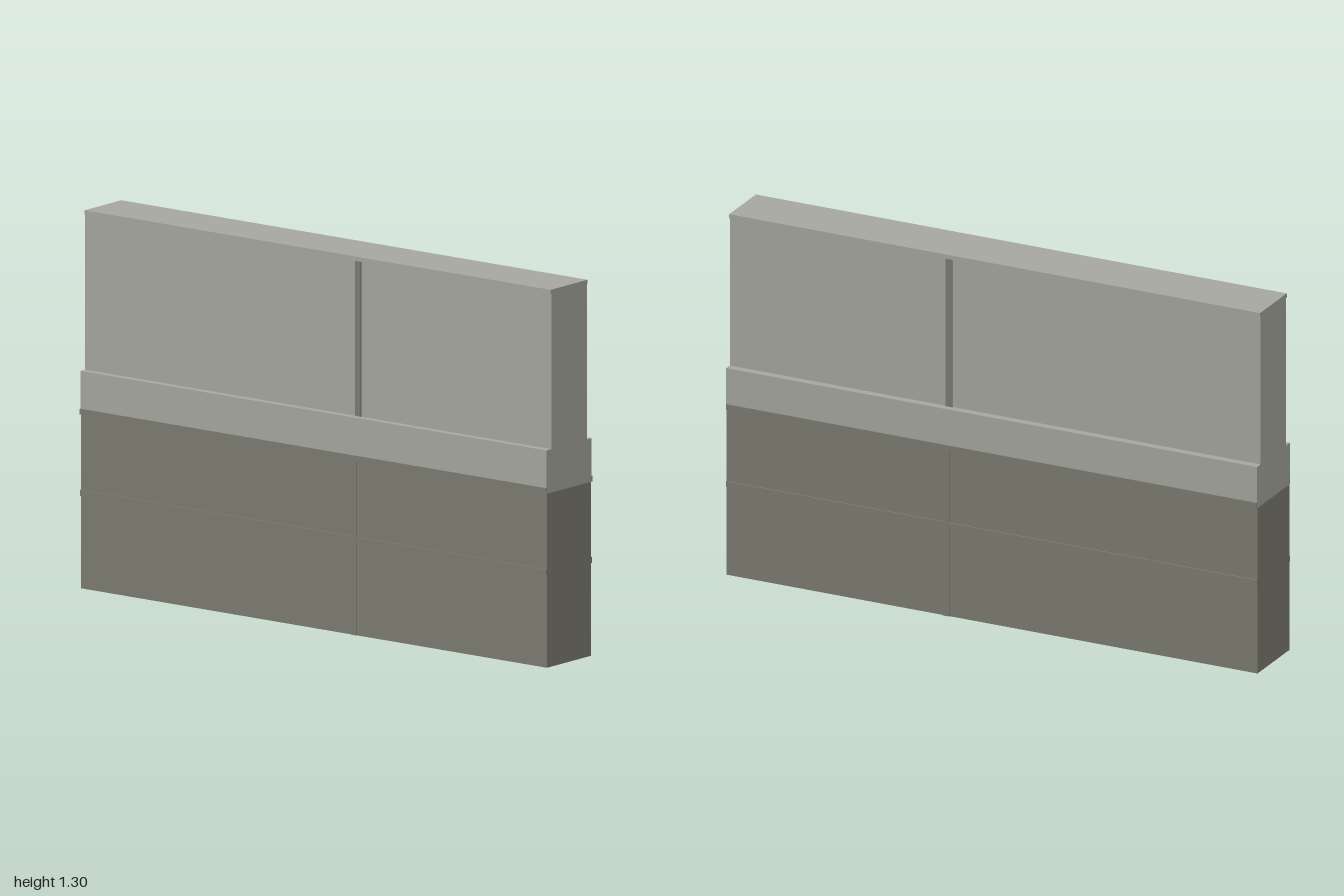
import * as THREE from 'three';

export function createModel() {
  const model = new THREE.Group();
  model.name = 'wallPanel';

  const light = new THREE.MeshStandardMaterial({ color: 0xa6a79f });
  light.name = 'lightConcrete';
  const dark = new THREE.MeshStandardMaterial({ color: 0x7c7c71 });
  dark.name = 'darkConcrete';

  // Box spanning the given x and y ranges, centred on z with a half depth
  function slab(name, material, x0, x1, y0, y1, halfDepth) {
    const geometry = new THREE.BoxGeometry(x1 - x0, y1 - y0, halfDepth * 2);
    const mesh = new THREE.Mesh(geometry, material);
    mesh.position.set((x0 + x1) / 2, (y0 + y1) / 2, 0);
    mesh.name = name;
    model.add(mesh);
  }

  // Thin strip on both the front and the back face
  function strips(name, material, x0, x1, y0, y1, inner, outer) {
    for (const side of [1, -1]) {
      const geometry = new THREE.BoxGeometry(x1 - x0, y1 - y0, outer - inner);
      const mesh = new THREE.Mesh(geometry, material);
      mesh.position.set((x0 + x1) / 2, (y0 + y1) / 2, side * (inner + outer) / 2);
      mesh.name = name + (side > 0 ? 'Front' : 'Back');
      model.add(mesh);
    }
  }

  // Main wall courses
  slab('base', dark, -1, 1, 0, 0.6, 0.12);
  slab('ledge', light, -1, 1, 0.6, 0.75, 0.123);
  slab('upperWall', light, -1, 1, 0.75, 1.3, 0.096);

  // Top lip and upper vertical joint
  strips('topLip', light, -1, 1, 1.285, 1.3, 0.096, 0.1);
  strips('upperJoint', dark, 0.16, 0.185, 0.75, 1.285, 0.096, 0.1);

  // Horizontal trims
  strips('ledgeTrim', dark, -1, 1, 0.6, 0.62, 0.12, 0.126);
  strips('baseTrim', dark, -1, 1, 0.32, 0.34, 0.12, 0.125);

  // Vertical joints of the base, above and below the trim
  for (const [y0, y1] of [[0, 0.32], [0.34, 0.6]]) {
    strips('baseJoint', dark, 0.16, 0.185, y0, y1, 0.12, 0.124);
  }

  return model;
}
